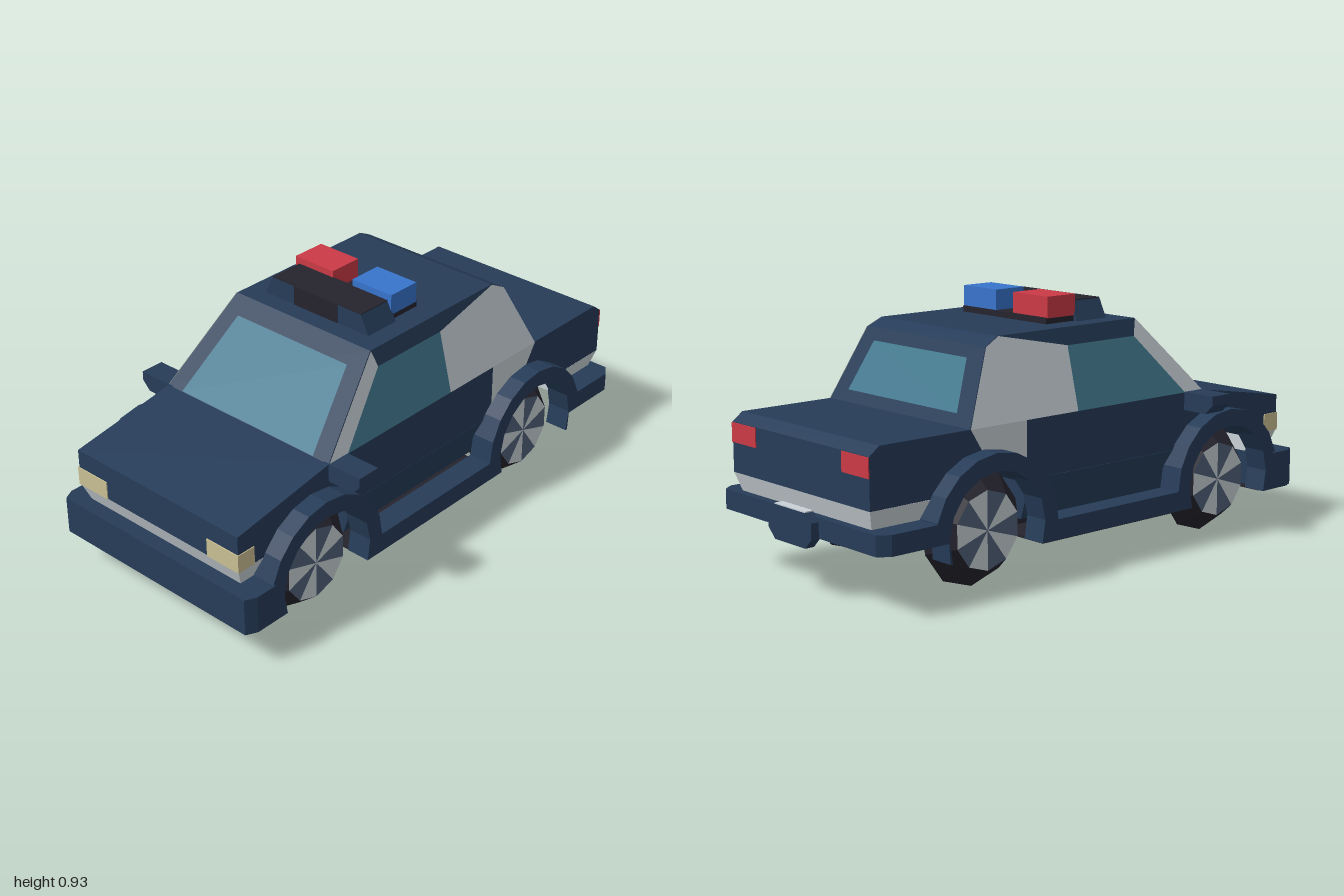
import * as THREE from 'three';

const mat = (name, color, double = false) => {
  const m = new THREE.MeshStandardMaterial({ color });
  m.name = name;
  if (double) m.side = THREE.DoubleSide;
  return m;
};

export function createModel() {
  const car = new THREE.Group();
  car.name = 'patrolCar';
  const navy = mat('navy paint', 0x263c58);
  const white = mat('white paint', 0xc9d2d7, true);
  const black = mat('black rubber', 0x25232d, true);
  const glass = mat('window glass', 0x437a90, true);
  const slate = mat('slate wheel', 0x51617a);
  const cream = mat('headlight cream', 0xcabf94);
  const red = mat('signal red', 0xcb3a46, true);
  const blue = mat('signal blue', 0x3874cc);

  const add = (name, geo, material, parent = car) => {
    const mesh = new THREE.Mesh(geo, material);
    mesh.name = name;
    parent.add(mesh);
    return mesh;
  };
  // box from min and max on each axis
  const box = (name, material, [x0, x1], [y0, y1], [z0, z1]) =>
    add(name, new THREE.BoxGeometry(x1 - x0, y1 - y0, z1 - z0)
      .translate((x0 + x1) / 2, (y0 + y1) / 2, (z0 + z1) / 2), material);
  const shapeOf = pts => new THREE.Shape(pts.map(p => new THREE.Vector2(...p)));
  const extrude = (pts, depth) =>
    new THREE.ExtrudeGeometry(shapeOf(pts), { depth, bevelEnabled: false });
  // outline in (z, y), spanning x0..x1
  const sideSolid = (pts, x0, x1) => extrude(pts, x1 - x0).rotateY(-Math.PI / 2).translate(x1, 0, 0);
  // outline in (x, z), spanning y0..y1
  const planSolid = (pts, y0, y1) => extrude(pts, y1 - y0).rotateX(Math.PI / 2).translate(0, y1, 0);
  // move every vertex by a rule, then refresh the flat normals
  const warp = (geo, rule) => {
    const g = geo.index ? geo.toNonIndexed() : geo;
    const p = g.attributes.position, v = new THREE.Vector3();
    for (let i = 0; i < p.count; i++) {
      rule(v.fromBufferAttribute(p, i));
      p.setXYZ(i, v.x, v.y, v.z);
    }
    g.computeVertexNormals();
    return g;
  };
  // thin painted face
  const panel = (name, material, pts, rule) =>
    add(name, warp(new THREE.ShapeGeometry(shapeOf(pts)), rule), material);
  const arc = (cz, r, a0, a1, n) => Array.from({ length: n + 1 }, (_, i) => {
    const a = (a0 + (a1 - a0) * i / n) * Math.PI / 180;
    return [cz + r * Math.cos(a), 0.21 + r * Math.sin(a)];
  });

  const FRONT = 0.63, REAR = -0.49;

  // Main body with wheel cut-outs
  add('body', sideSolid([
    [0.97, 0.345], [0.97, 0.48], [0.55, 0.55], [-0.92, 0.55], [-0.96, 0.52], [-0.96, 0.345],
    ...arc(REAR, 0.207, 139, 41, 6).map(([z, y]) => [z, y]),
    ...arc(FRONT, 0.207, 139, 41, 6),
  ], -0.38, 0.38), navy);

  // Lower bands, tapering inward towards the bottom
  const band = (name, material, y0, z0, z1, in0, in1) => {
    const h = 0.345 - y0;
    const g = new THREE.BoxGeometry(0.76, h, z1 - z0).translate(0, y0 + h / 2, (z0 + z1) / 2);
    add(name, warp(g, v => {
      const t = (0.345 - v.y) / 0.065;
      v.x -= Math.sign(v.x) * 0.02 * t;
      v.z += t * (v.z < (z0 + z1) / 2 ? in0 : -in1);
    }), material);
  };
  band('frontTrim', white, 0.28, 0.82, 0.97, 0, 0.025);
  band('lowerDoors', navy, 0.2, -0.29, 0.43, 0, 0);
  band('rearTrim', white, 0.28, -0.96, -0.68, 0.02, 0);

  // Chassis and flat underside, notched around the wheels
  box('chassis', black, [-0.22, 0.22], [0.14, 0.44], [-0.69, 0.9]);
  box('frontFloor', black, [-0.42, 0.42], [0.136, 0.145], [0.83, 0.99]);
  box('middleFloor', black, [-0.445, 0.445], [0.136, 0.145], [-0.29, 0.43]);

  // Bumpers
  add('frontBumper', planSolid([
    [-0.45, 0.85], [0.45, 0.85], [0.45, 0.96], [0.43, 1], [-0.43, 1], [-0.45, 0.96],
  ], 0.14, 0.278), navy);
  add('rearBumper', planSolid([
    [0.45, -0.7], [0.45, -0.93], [0.42, -0.97], [-0.42, -0.97], [-0.45, -0.93], [-0.45, -0.7],
    [-0.36, -0.7], [-0.36, -0.89], [0.36, -0.89], [0.36, -0.7],
  ], 0.21, 0.28), navy);

  // Rear plate with a pale top edge
  add('rearPlate', extrude([
    [-0.12, 0.21], [-0.085, 0.175], [0.085, 0.175], [0.12, 0.21],
    [0.12, 0.265], [0.085, 0.293], [-0.085, 0.293], [-0.12, 0.265],
  ], 0.035).translate(0, 0, -1), navy);
  box('rearPlateTop', white, [-0.085, 0.085], [0.29, 0.297], [-0.998, -0.965]);

  // Cabin, narrowing towards the roof
  const halfWidth = y => 0.38 - 0.25 * Math.max(0, y - 0.55);
  add('cabin', warp(sideSolid([
    [0.55, 0.55], [0.27, 0.83], [-0.37, 0.83], [-0.43, 0.8], [-0.55, 0.55],
  ], -1, 1), v => { v.x = Math.sign(v.x) * halfWidth(v.y); }), navy);

  // Windscreen and rear window
  panel('windscreen', glass, [[-0.31, 0.553], [0.31, 0.553], [0.255, 0.78], [-0.255, 0.78]],
    v => { v.z = 1.1 - v.y + 0.004; });
  panel('rearWindow', glass, [[0.295, 0.59], [-0.295, 0.59], [-0.25, 0.76], [0.25, 0.76]],
    v => { v.z = -0.55 + (v.y - 0.55) * 0.48 - 0.004; });

  // Outlines in (z, y) laid on both flanks
  const flank = (name, material, pts) => [1, -1].forEach(s =>
    panel((s > 0 ? 'left' : 'right') + name, material, pts, v => {
      const z = v.x;
      v.x = s * (halfWidth(v.y) + 0.003);
      v.z = z;
    }));
  flank('SideWindow', glass, [[0.46, 0.55], [0.25, 0.77], [-0.07, 0.77], [-0.07, 0.55]]);
  flank('FrontPillar', white, [[0.55, 0.55], [0.27, 0.83], [0.25, 0.77], [0.46, 0.55]]);
  flank('RearPillar', white,
    [[-0.07, 0.55], [-0.07, 0.77], [-0.37, 0.83], [-0.43, 0.8], [-0.55, 0.55]]);
  flank('RearQuarter', white,
    [[-0.305, 0.55], [-0.305, 0.38], [-0.38, 0.44], [-0.49, 0.455], [-0.55, 0.55]]);

  for (const s of [1, -1]) {
    const side = s > 0 ? 'left' : 'right';
    const span = (a, b) => (s > 0 ? [a, b] : [-b, -a]);

    // Flared arches joined by the sill
    const skirt = [
      [0.87, 0.14], [0.87, 0.278],
      ...arc(FRONT, 0.267, 16, 180, 9),
      ...arc(REAR, 0.267, 0, 164, 9),
      [-0.74, 0.21], [-0.7, 0.21], [-0.695, 0.14],
      ...arc(REAR, 0.207, 200, -20, 10),
      ...arc(FRONT, 0.207, 200, -20, 10),
    ];
    add(side + 'ArchesAndSill', sideSolid(skirt, ...span(0.36, 0.45)), navy);

    // Mirror
    add(side + 'Mirror', extrude([
      [0.36, 0.485], [0.483, 0.485], [0.515, 0.518], [0.515, 0.552], [0.36, 0.552],
    ].map(([x, y]) => [s * x, y]), 0.09).translate(0, 0, 0.46), navy);

    // Lamps
    box(side + 'Headlight', cream, span(0.24, 0.383), [0.345, 0.412], [0.9, 0.974]);
    box(side + 'TailLight', red, span(0.24, 0.38), [0.45, 0.518], [-0.964, -0.957]);

    // Wheels: ridged ten-sided tyre and a segmented hub
    for (const [end, z] of [['Front', FRONT], ['Rear', REAR]]) {
      const wheel = new THREE.Group();
      wheel.name = side + end + 'Wheel';
      const profile = [[0, -0.085], [0.137, -0.085], [0.207, 0], [0.137, 0.085]]
        .map(p => new THREE.Vector2(...p));
      const tyre = new THREE.LatheGeometry(profile, 10, Math.PI / 10).rotateZ(-Math.PI / 2);
      add('tyre', warp(tyre, () => {}), black, wheel);
      const hub = new THREE.CircleGeometry(0.137, 10, Math.PI / 10);
      for (let i = 0; i < 10; i++) hub.addGroup(i * 3, 3, i % 2);
      add('hub', hub.rotateY(Math.PI / 2).translate(0.085, 0, 0), [white, slate], wheel);
      wheel.position.set(s * 0.31, 0.207, z);
      if (s < 0) wheel.rotation.y = Math.PI;
      car.add(wheel);
    }
  }

  // Roof housing and beacons
  add('roofHousing', extrude([[-0.24, 0.828], [0.24, 0.828], [0.205, 0.898], [-0.205, 0.898]], 0.14)
    .translate(0, 0, 0.06), navy);
  box('housingTop', black, [-0.205, 0.205], [0.896, 0.901], [0.062, 0.198]);
  box('housingFront', black, [-0.1, 0.1], [0.83, 0.9], [0.196, 0.203]);
  box('beaconBase', black, [-0.22, 0.22], [0.828, 0.852], [-0.07, 0.06]);
  box('redBeacon', red, [-0.222, -0.045], [0.85, 0.925], [-0.065, 0.065]);
  box('blueBeacon', blue, [0.045, 0.222], [0.85, 0.925], [-0.065, 0.065]);

  return car;
}
